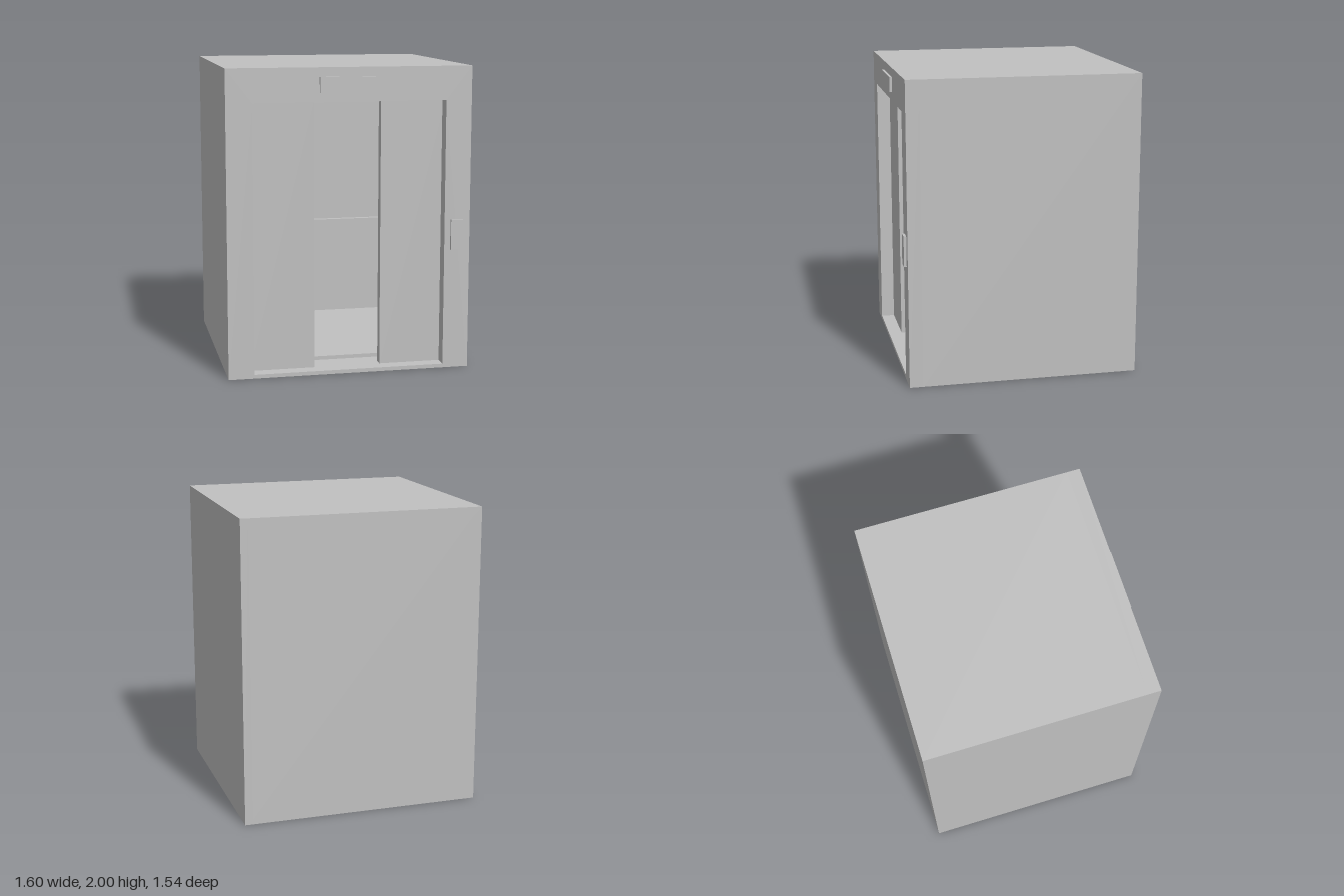
import * as THREE from 'three';

export function createModel() {
  const group = new THREE.Group();
  group.name = 'elevator';
  const grey = new THREE.MeshStandardMaterial({ color: 0xc0c0c0 });
  grey.name = 'plain grey';

  const add = (name, geometry) => {
    const mesh = new THREE.Mesh(geometry, grey);
    mesh.name = name;
    group.add(mesh);
  };
  // Box from its minimum and maximum corners
  const box = (name, [x0, y0, z0], [x1, y1, z1]) =>
    add(name, new THREE.BoxGeometry(x1 - x0, y1 - y0, z1 - z0)
      .translate((x0 + x1) / 2, (y0 + y1) / 2, (z0 + z1) / 2));
  // Rectangular outline, symmetric about x = 0
  const rect = (Path, halfWidth, y0, y1) => new Path([
    [-halfWidth, y0], [halfWidth, y0], [halfWidth, y1], [-halfWidth, y1],
  ].map(([x, y]) => new THREE.Vector2(x, y)));
  // Outer rectangle with an opening, extruded between two depths
  const frame = (name, holeHalfWidth, holeTop, z0, z1) => {
    const shape = rect(THREE.Shape, 0.8, 0, 2);
    shape.holes.push(rect(THREE.Path, holeHalfWidth, 0.025, holeTop));
    add(name, new THREE.ExtrudeGeometry(shape, { depth: z1 - z0, bevelEnabled: false })
      .translate(0, 0, z0));
  };

  // Cabin shell and front wall with the doorway
  frame('cabinShell', 0.75, 1.95, -0.77, 0.66);
  frame('frontWall', 0.63, 1.78, 0.66, 0.75);
  box('backWall', [-0.75, 0.025, -0.77], [0.75, 1.95, -0.72]);
  box('cabinFloor', [-0.75, 0.025, -0.72], [0.75, 0.05, 0.5]);
  box('handrail', [-0.65, 0.73, -0.72], [0.65, 0.765, -0.68]);

  // Half-open sliding doors
  box('rightDoor', [-0.65, 0.025, 0.6], [-0.22, 1.79, 0.66]);
  box('leftDoor', [0.22, 0.025, 0.6], [0.65, 1.79, 0.66]);

  // Floor display and call panel
  box('floorDisplay', [-0.2, 1.84, 0.75], [0.2, 1.94, 0.767]);
  box('callPanel', [0.67, 0.8, 0.75], [0.75, 1, 0.767]);

  return group;
}
